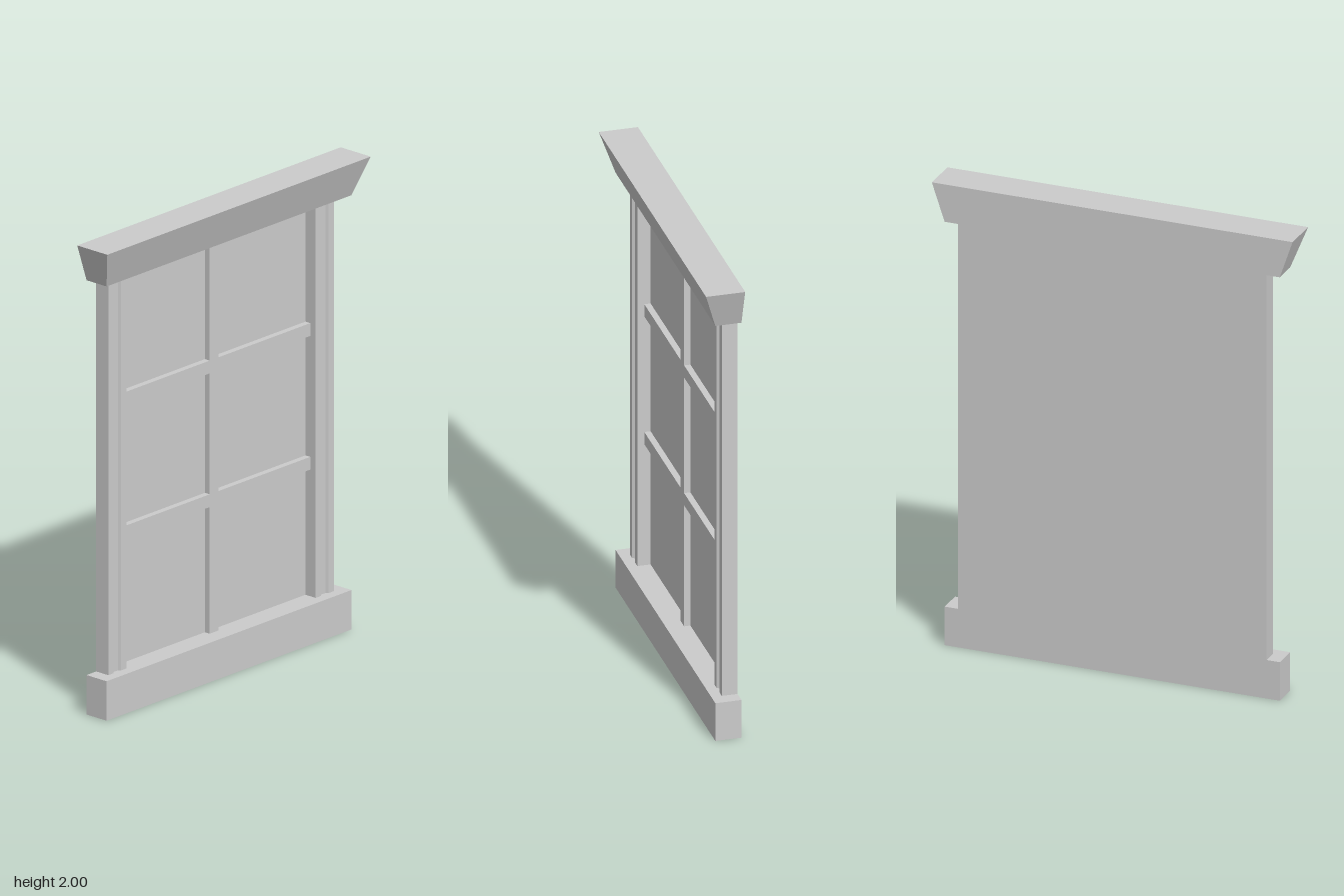
import * as THREE from 'three';

const BACK = -0.08;
const material = new THREE.MeshStandardMaterial({ color: 0xcccccc, flatShading: true });

export function createModel() {
  const model = new THREE.Group();
  model.name = 'window';

  const add = (name, geometry) => {
    const mesh = new THREE.Mesh(geometry, material);
    mesh.name = name;
    model.add(mesh);
    return mesh;
  };

  // Box given by its limits, always starting at the back plane
  const slab = (name, x0, x1, y0, y1, front) => {
    const mesh = add(name, new THREE.BoxGeometry(x1 - x0, y1 - y0, front - BACK));
    mesh.position.set((x0 + x1) / 2, (y0 + y1) / 2, (front + BACK) / 2);
  };

  const sillTop = 0.167, lintelBottom = 1.838;

  slab('sill', -0.722, 0.722, 0, sillTop, 0.028);
  slab('pane', -0.565, 0.565, sillTop, lintelBottom, -0.07);

  // Lintel: a box whose top flares outward to the front and sides
  const lintel = new THREE.BoxGeometry(1, 1, 1);
  const p = lintel.attributes.position;
  for (let i = 0; i < p.count; i++) {
    const top = p.getY(i) > 0;
    p.setXYZ(i,
      Math.sign(p.getX(i)) * (top ? 0.777 : 0.722),
      top ? 2 : lintelBottom,
      p.getZ(i) > 0 ? (top ? 0.082 : 0.028) : BACK);
  }
  lintel.computeVertexNormals();
  add('lintel', lintel);

  // Grooved jambs: plan profile (x, z) extruded upward
  const profile = [
    [0.558, BACK], [0.665, BACK], [0.665, -0.015], [0.634, -0.015],
    [0.628, -0.025], [0.597, -0.025], [0.591, -0.015], [0.558, -0.015],
  ];
  for (const side of [1, -1]) {
    const shape = new THREE.Shape(profile.map(([x, z]) => new THREE.Vector2(side * x, -z)));
    const geometry = new THREE.ExtrudeGeometry(shape, { depth: lintelBottom - sillTop, bevelEnabled: false });
    geometry.rotateX(-Math.PI / 2);
    geometry.translate(0, sillTop, 0);
    add(side > 0 ? 'leftJamb' : 'rightJamb', geometry);
  }

  // Glazing bars
  const barFront = -0.044;
  slab('verticalBar', -0.035, 0.018, sillTop, lintelBottom, barFront);
  for (const y of [0.703, 1.269]) {
    slab('horizontalBar', -0.56, -0.035, y, y + 0.054, barFront);
    slab('horizontalBar', 0.018, 0.56, y, y + 0.054, barFront);
  }

  return model;
}
